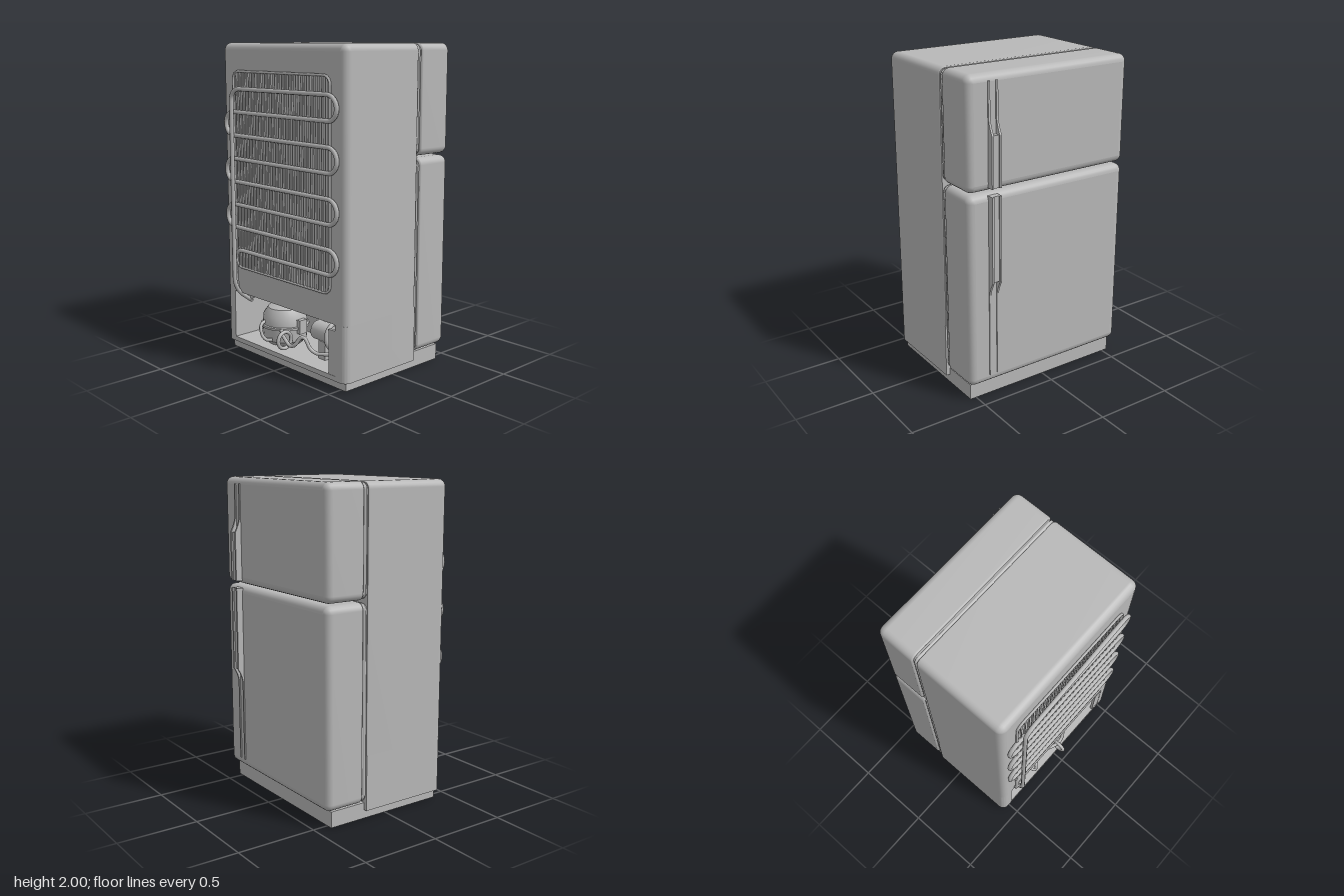
import * as THREE from 'three';
import { toCreasedNormals } from 'three/addons/utils/BufferGeometryUtils.js';

const V = (x, y, z) => new THREE.Vector3(x, y, z);
const W = 0.565, BACK = -0.43, R = 0.045, SEG = 5;

// Solid along x from rounded rectangles; rings are [x, inset]
function loft(rings, y0, y1, rTop, rBottom, insetBottom = true) {
  const pos = [], idx = [], n = 4 * (SEG + 1);
  const ring = ([x, d]) => {
    for (let c = 0; c < 4; c++) {
      const top = c < 2, r = top ? Math.max(rTop - d, 0.004) : rBottom && Math.max(rBottom - d, 0.004);
      const cz = (c === 0 || c === 3 ? 1 : -1) * (W - d - r);
      const cy = top ? y1 - d - r : y0 + (insetBottom ? d : 0) + r;
      for (let k = 0; k <= SEG; k++) {
        const a = (c + k / SEG) * Math.PI / 2;
        pos.push(x, cy + r * Math.sin(a), cz + r * Math.cos(a));
      }
    }
  };
  rings.forEach(ring);
  for (let i = 0; i < rings.length - 1; i++) {
    for (let j = 0; j < n; j++) {
      const a = i * n + j, b = i * n + (j + 1) % n;
      idx.push(a, a + n, b, b, a + n, b + n);
    }
  }
  // end caps with their own vertices
  [rings[0], rings[rings.length - 1]].forEach((r, e) => {
    const s = pos.length / 3;
    ring(r);
    pos.push(r[0], (y0 + y1) / 2, 0);
    for (let j = 0; j < n; j++) {
      const a = s + j, b = s + (j + 1) % n;
      idx.push(s + n, e ? b : a, e ? a : b);
    }
  });
  const g = new THREE.BufferGeometry();
  g.setAttribute('position', new THREE.Float32BufferAttribute(pos, 3));
  g.setIndex(idx);
  g.computeVertexNormals();
  return g;
}

// Quarter-round edge profile; dir -1 = rounded at the low-x end
function quarter(x, r, dir) {
  const out = [];
  for (let k = 0; k <= SEG; k++) {
    const a = k / SEG * Math.PI / 2;
    out.push([x + dir * r * Math.sin(a), r * (1 - Math.cos(a))]);
  }
  return dir < 0 ? out.reverse() : out;
}

// Tube along a polyline with rounded corners
function pipe(pts, r, fillet, segs) {
  const path = new THREE.CurvePath();
  let last = pts[0];
  for (let i = 1; i < pts.length - 1; i++) {
    const p = pts[i];
    const cut = q => p.clone().add(q.clone().sub(p).setLength(Math.min(fillet, q.distanceTo(p) * 0.48)));
    const a = cut(pts[i - 1]), b = cut(pts[i + 1]);
    path.add(new THREE.LineCurve3(last, a));
    path.add(new THREE.CubicBezierCurve3(a, a.clone().lerp(p, 0.55), b.clone().lerp(p, 0.55), b));
    last = b;
  }
  path.add(new THREE.LineCurve3(last, pts[pts.length - 1]));
  return new THREE.TubeGeometry(path, segs, r, 8);
}

export function createModel() {
  const model = new THREE.Group();
  const grey = new THREE.MeshStandardMaterial({ color: 0xb8b8b8 });
  const add = (name, geo, x = 0, y = 0, z = 0) => {
    const m = new THREE.Mesh(geo, grey);
    m.name = name;
    m.position.set(x, y, z);
    model.add(m);
    return m;
  };
  const box = (name, x0, x1, y0, y1, z0, z1) =>
    add(name, new THREE.BoxGeometry(x1 - x0, y1 - y0, z1 - z0), (x0 + x1) / 2, (y0 + y1) / 2, (z0 + z1) / 2);

  // Cabinet: closed upper part, and walls around the machine bay below
  const bayTop = 0.4, bayZ = 0.48, bayX = -0.02;
  add('cabinet', loft([...quarter(BACK + R, R, -1), [0.152, 0], [0.16, 0.006]], bayTop, 2, R, 0, false));
  const s = new THREE.Shape();
  s.moveTo(0.16, -W);
  s.lineTo(0.16, W);
  s.lineTo(BACK + R, W);
  s.absarc(BACK + R, W - R, R, Math.PI / 2, Math.PI, false);
  s.lineTo(BACK, bayZ);
  s.lineTo(bayX, bayZ);
  s.lineTo(bayX, -bayZ);
  s.lineTo(BACK, -bayZ);
  s.absarc(BACK + R, -W + R, R, Math.PI, Math.PI * 1.5, false);
  const walls = new THREE.ExtrudeGeometry(s, { depth: bayTop - 0.055, bevelEnabled: false, curveSegments: SEG });
  walls.rotateX(-Math.PI / 2);
  add('bayWalls', toCreasedNormals(walls, 0.5), 0, 0.055, 0);
  box('bayFloor', BACK, bayX, 0.055, 0.085, -bayZ, bayZ);
  box('bayBracket', BACK + 0.002, BACK + 0.02, 0.085, 0.36, 0.42, bayZ);

  // Plinth, taller under the doors
  box('plinth', -0.4, 0.4, 0, 0.056, -0.54, 0.54);
  box('plinthFront', 0.155, 0.4, 0, 0.1, -0.54, 0.54);

  // Doors with ribbed gaskets
  for (const [name, y0, y1] of [['freezerDoor', 1.332, 2], ['fridgeDoor', 0.105, 1.32]]) {
    add(name, loft([[0.19, 0.01], [0.194, 0.003], [0.2, 0], ...quarter(0.447 - R, R, 1)], y0, y1, R, R));
    add(name + 'Gasket', loft([[0.159, 0.013], [0.167, 0.013], [0.17, 0.007], [0.178, 0.007],
      [0.181, 0.013], [0.191, 0.013]], y0, y1, R, R));
  }

  // Handles: two thin rails with a grip bar between them
  const handle = (name, end, grip, bend, tip) => {
    const o = new THREE.Shape();
    o.moveTo(0.44, end);
    o.lineTo(0.487, end);
    o.lineTo(0.487, grip);
    o.quadraticCurveTo(0.458, (grip * 0.45 + bend * 0.55), 0.453, bend);
    o.lineTo(0.453, tip);
    o.lineTo(0.44, tip);
    for (const z of [0.366, 0.418]) {
      add(name + 'Rail', new THREE.ExtrudeGeometry(o, { depth: 0.013, bevelEnabled: false, curveSegments: 5 }), 0, 0, z);
    }
    box(name + 'Grip', 0.44, 0.478, Math.min(end, grip), Math.max(end, grip), 0.378, 0.419);
  };
  handle('freezerHandle', 1.355, 1.66, 1.76, 1.96);
  handle('fridgeHandle', 1.308, 0.78, 0.69, 0.16);

  // Condenser: frame, wires and serpentine pipe
  const fx = -0.437;
  add('condenserFrame', pipe([V(fx, 1.2, -0.445), V(fx, 1.825, -0.445), V(fx, 1.825, 0.445), V(fx, 0.575, 0.445),
    V(fx, 0.575, -0.445), V(fx, 1.2, -0.445)], 0.008, 0.05, 200));
  const wire = new THREE.CylinderGeometry(0.006, 0.006, 1.25, 6);
  for (let i = 1; i < 28; i++) add('condenserWire', wire, fx, 1.2, -0.445 + i * 0.89 / 28);
  const pts = [V(-0.34, 0.33, -0.42), V(-0.475, 0.43, -0.42), V(-0.475, 1.72, -0.42), V(-0.45, 1.72, 0.51)];
  for (let i = 1; i < 8; i++) {
    const y = 1.72 - i * 0.147, z = i % 2 ? 0.51 : -0.515;
    pts.push(V(-0.446, y, z));
    pts.push(i < 7 ? V(-0.446, y, -z > 0 ? 0.51 : -0.515) : V(-0.446, y, -0.445));
  }
  pts.push(V(-0.446, 0.42, -0.445), V(-0.34, 0.34, -0.445));
  add('condenserPipe', pipe(pts, 0.014, 0.073, 600));

  // Compressor: domed pot with a welded rim
  const pot = [[0, 0], [0.11, 0], [0.14, 0.03], [0.145, 0.11], [0.157, 0.113], [0.157, 0.127], [0.145, 0.13],
    [0.14, 0.19], [0.11, 0.235], [0.06, 0.255], [0, 0.26]].map(p => new THREE.Vector2(...p));
  add('compressor', toCreasedNormals(new THREE.LatheGeometry(pot, 28), 0.6), -0.24, 0.085, -0.2);
  box('compressorTerminal', -0.26, -0.2, 0.17, 0.26, -0.07, -0.03);

  // Fan motor lying beside the compressor
  const motor = add('fanMotor', new THREE.CylinderGeometry(0.06, 0.06, 0.16, 20), -0.26, 0.25, 0.22);
  motor.rotation.x = Math.PI / 2;
  const ring = add('fanRing', new THREE.TorusGeometry(0.085, 0.014, 8, 24), -0.26, 0.25, 0.31);
  ring.name = 'fanRing';
  box('fanStand', -0.3, -0.22, 0.08, 0.2, 0.19, 0.25);

  // Bay pipework, with one loop standing out at the back
  add('pipeLoop', new THREE.TorusGeometry(0.052, 0.012, 8, 24), -0.427, 0.187, 0.02);
  add('suctionPipe', pipe([V(-0.34, 0.2, -0.12), V(-0.41, 0.2, -0.02), V(-0.42, 0.14, 0.08), V(-0.38, 0.25, 0.14),
    V(-0.36, 0.13, 0.2), V(-0.28, 0.14, 0.34), V(-0.2, 0.32, 0.38), V(-0.02, 0.32, 0.38)], 0.012, 0.05, 100));
  add('servicePipe', pipe([V(-0.36, 0.24, -0.24), V(-0.42, 0.22, -0.24), V(-0.42, 0.13, -0.2),
    V(-0.38, 0.13, -0.16)], 0.011, 0.04, 40));
  add('dischargePipe', pipe([V(-0.24, 0.33, -0.2), V(-0.24, 0.37, -0.2), V(-0.35, 0.37, -0.4),
    V(-0.35, 0.33, -0.42)], 0.011, 0.04, 40));
  return model;
}
